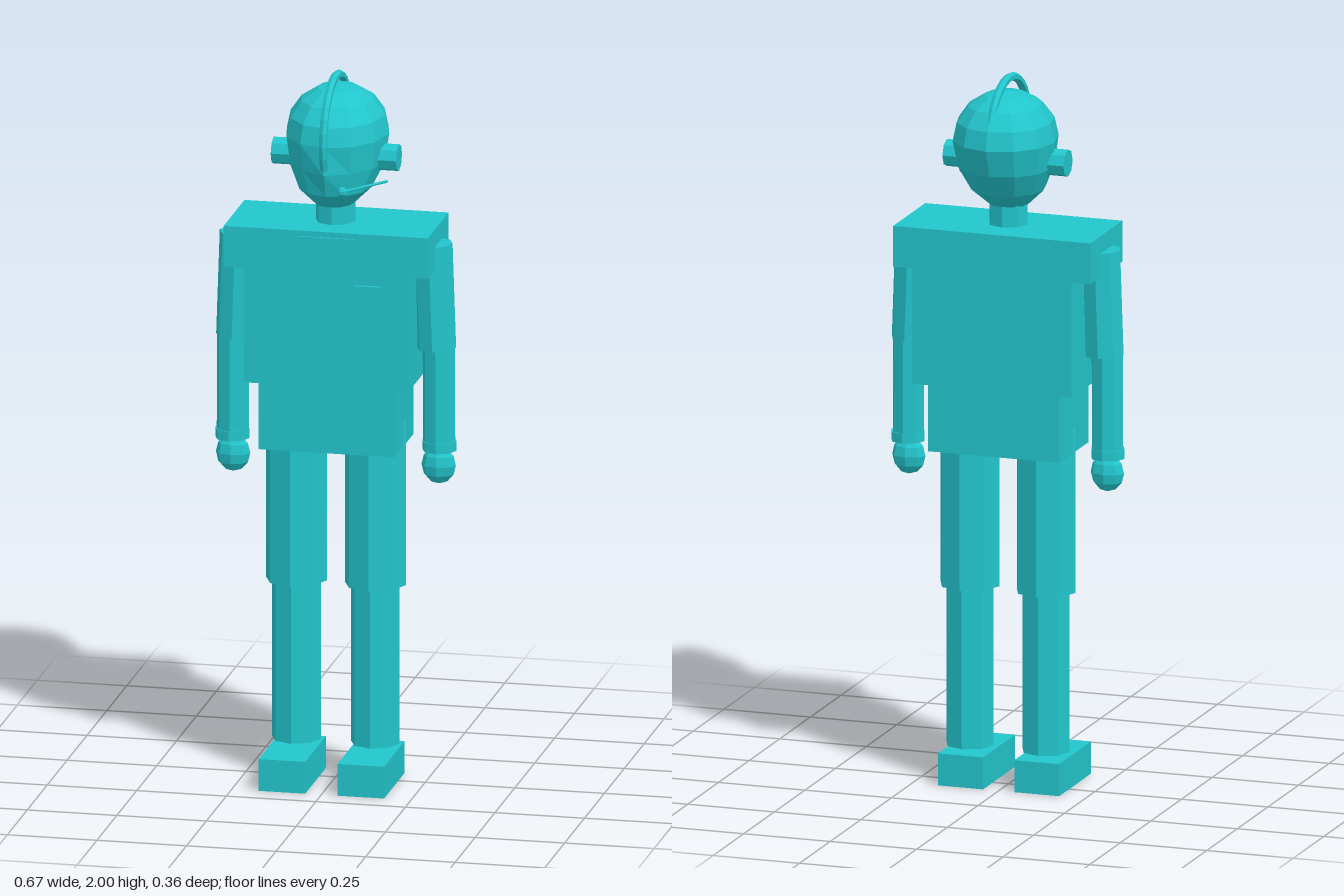
import * as THREE from 'three';

export function createModel() {
  const model = new THREE.Group();
  const teal = new THREE.MeshStandardMaterial({ color: 0x22c5cc, flatShading: true });
  teal.name = 'teal';

  const add = (name, geometry, x = 0, y = 0, z = 0) => {
    const mesh = new THREE.Mesh(geometry, teal);
    mesh.name = name;
    mesh.position.set(x, y, z);
    model.add(mesh);
    return mesh;
  };
  // Box given by its limits on each axis
  const box = (name, x0, x1, y0, y1, z0, z1) =>
    add(name, new THREE.BoxGeometry(x1 - x0, y1 - y0, z1 - z0), (x0 + x1) / 2, (y0 + y1) / 2, (z0 + z1) / 2);
  // Straight prism between two points
  const rod = (name, a, b, radius, sides = 8) => {
    const from = new THREE.Vector3(...a), to = new THREE.Vector3(...b);
    const dir = to.clone().sub(from);
    const mesh = add(name, new THREE.CylinderGeometry(radius, radius, dir.length(), sides));
    mesh.position.copy(from).add(to).multiplyScalar(0.5);
    mesh.quaternion.setFromUnitVectors(new THREE.Vector3(0, 1, 0), dir.normalize());
    return mesh;
  };

  // Trunk
  box('shoulders', -0.285, 0.285, 1.465, 1.58, -0.137, 0.125);
  box('chest', -0.23, 0.23, 1.14, 1.47, -0.137, 0.125);
  box('pelvis', -0.19, 0.19, 0.95, 1.14, -0.122, 0.115);
  box('frontPanel', -0.077, 0.077, 1.245, 1.565, 0.122, 0.131);
  box('chestPocket', 0.08, 0.155, 1.325, 1.435, 0.12, 0.135);
  rod('neck', [0, 1.56, 0], [0, 1.68, 0], 0.055);

  // Head: unit sphere shaped into a rounded skull with a narrower, forward jaw
  const head = new THREE.SphereGeometry(1, 12, 8);
  const p = head.attributes.position;
  for (let i = 0; i < p.count; i++) {
    const x = p.getX(i), y = p.getY(i), z = p.getZ(i);
    // Shallow eye sockets just below the brow
    const socket = y < -0.2 && y > -0.5 && z > 0.3 && Math.abs(x) > 0.3 ? 0.012 : 0;
    p.setXYZ(
      i,
      x * 0.143,
      1.825 + y * (y > 0 ? 0.135 : 0.205),
      -0.03 + z * (z > 0 ? 0.18 : 0.154) + Math.max(0, -y) * 0.04 - socket
    );
  }
  add('head', head);

  // Headset: band running front to back, ear pieces, microphone
  const band = add('headband', new THREE.TorusGeometry(0.158, 0.012, 6, 16, Math.PI * 1.14), 0, 1.83, 0);
  band.rotation.set(0, -Math.PI / 2, 0);
  band.geometry.rotateZ(-Math.PI * 0.14);
  rod('microphoneBoom', [0.15, 1.707, 0.03], [0.054, 1.707, 0.16], 0.004, 6);
  add('microphone', new THREE.SphereGeometry(0.014, 6, 5), 0.054, 1.707, 0.16);

  // Paired parts
  for (const s of [1, -1]) {
    rod('earPiece', [s * 0.09, 1.765, -0.008], [s * 0.175, 1.765, -0.008], 0.038);

    rod('upperArm', [s * 0.27, 1.53, -0.006], [s * 0.28, 1.235, -0.006], 0.055);
    rod('forearm', [s * 0.287, 1.24, -0.004], [s * 0.288, 0.96, -0.004], 0.045);
    rod('cuff', [s * 0.289, 0.972, -0.004], [s * 0.289, 0.945, -0.004], 0.048);
    const hand = add('hand', new THREE.SphereGeometry(1, 8, 6), s * 0.287, 0.903, -0.003);
    hand.scale.set(0.048, 0.053, 0.035);

    rod('thigh', [s * 0.11, 0.555, -0.003], [s * 0.11, 1.02, -0.003], 0.085);
    rod('shin', [s * 0.11, 0.105, -0.003], [s * 0.11, 0.56, -0.003], 0.068);
    box('shoe', s * 0.11 - 0.065, s * 0.11 + 0.065, 0, 0.09, -0.08, 0.18);
  }
  return model;
}
